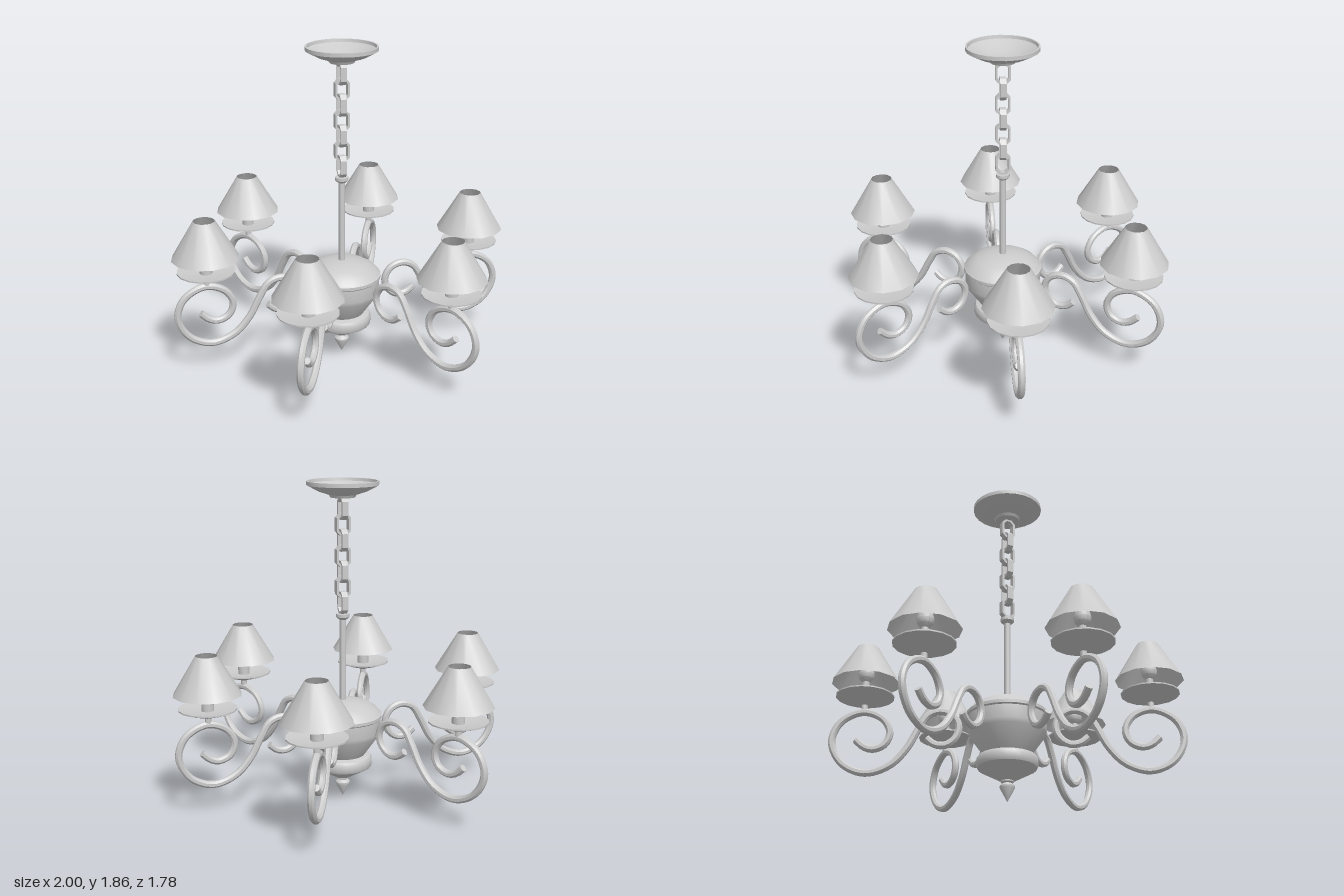
import * as THREE from 'three';
import { toCreasedNormals } from 'three/addons/utils/BufferGeometryUtils.js';

const solid = new THREE.MeshStandardMaterial({ color: 0xcccccc });
const shell = new THREE.MeshStandardMaterial({ color: 0xcccccc, side: THREE.DoubleSide });
const v2 = (p) => p.map(([x, y]) => new THREE.Vector2(x, y));

function part(name, geometry, material = solid) {
  const mesh = new THREE.Mesh(toCreasedNormals(geometry, 0.6), material);
  mesh.name = name;
  return mesh;
}

// Turned part from a [radius, height] profile, listed bottom to top
const turned = (name, profile, sides, material) =>
  part(name, new THREE.LatheGeometry(v2(profile), sides), material);

// Octagonal chain link cut from flat bar
function linkGeometry() {
  const octagon = (w, h, c) => v2([
    [w, h - c], [w - c, h], [c - w, h], [-w, h - c],
    [-w, c - h], [c - w, -h], [w - c, -h], [w, c - h]]);
  const shape = new THREE.Shape(octagon(0.042, 0.063, 0.024));
  shape.holes.push(new THREE.Path(octagon(0.03, 0.051, 0.019)));
  return new THREE.ExtrudeGeometry(shape, { depth: 0.036, bevelEnabled: false }).translate(0, 0, -0.018);
}

// Double-scrolled arm bar, running outward along +x
function armGeometry() {
  const path = new THREE.CatmullRomCurve3([
    [0.45, 0.37], [0.405, 0.335], [0.345, 0.33], [0.29, 0.37], [0.27, 0.44],
    [0.305, 0.505], [0.375, 0.53], [0.445, 0.505], [0.495, 0.43], [0.56, 0.31],
    [0.65, 0.215], [0.78, 0.172], [0.9, 0.215], [0.965, 0.3], [0.977, 0.38],
    [0.93, 0.475], [0.81, 0.53], [0.7, 0.49], [0.656, 0.41], [0.68, 0.34],
    [0.745, 0.31], [0.8, 0.325], [0.845, 0.365],
  ].map(([x, y]) => new THREE.Vector3(x, y, 0)));
  const section = [];
  for (let i = 0; i < 8; i++) {
    const a = (i + 0.5) * Math.PI / 4;
    section.push([0.021 * Math.cos(a), 0.021 * Math.sin(a)]);
  }
  return new THREE.ExtrudeGeometry(new THREE.Shape(v2(section)), { steps: 88, extrudePath: path, bevelEnabled: false });
}

// Drip dish, candle holder, bulb and shade
function createLight() {
  const light = new THREE.Group();
  light.name = 'light';
  light.add(
    turned('dripDish', [
      [0, 0.525], [0.018, 0.525], [0.018, 0.57], [0.045, 0.58], [0.11, 0.6],
      [0.166, 0.62], [0.166, 0.628], [0.1, 0.618], [0, 0.61]], 16, shell),
    turned('candleHolder', [
      [0, 0.61], [0.036, 0.61], [0.036, 0.685], [0.021, 0.685], [0.021, 0.715], [0, 0.715]], 12),
    turned('bulb', [
      [0, 0.71], [0.022, 0.712], [0.042, 0.735], [0.047, 0.76], [0.041, 0.79],
      [0.027, 0.825], [0.012, 0.85], [0, 0.858]], 12),
    turned('shade', [[0.195, 0.705], [0.062, 0.928]], 12, shell));
  return light;
}

export function createModel() {
  const model = new THREE.Group();
  model.name = 'chandelier';

  // Open ceiling dish
  model.add(turned('ceilingCanopy', [
    [0, 1.77], [0.07, 1.77], [0.078, 1.785], [0.14, 1.805], [0.205, 1.84], [0.205, 1.862],
    [0.195, 1.862], [0.192, 1.845], [0.135, 1.816], [0.08, 1.795], [0, 1.79]], 24, shell));

  // Chain, each link turned a quarter from the last
  const chain = new THREE.Group();
  chain.name = 'chain';
  const link = linkGeometry();
  for (let i = 0; i < 7; i++) {
    const mesh = part('chainLink', link);
    mesh.position.y = 1.708 - i * 0.0895;
    mesh.rotation.y = i % 2 ? 0 : Math.PI / 2;
    chain.add(mesh);
  }
  model.add(chain);

  // Hanging rod with its collar
  model.add(turned('rod', [
    [0, 0.55], [0.019, 0.55], [0.019, 1.072], [0.027, 1.076], [0.04, 1.088],
    [0.04, 1.106], [0, 1.106]], 12));

  // Urn body
  model.add(turned('body', [
    [0, 0.11], [0.04, 0.12], [0.165, 0.19], [0.172, 0.205], [0.172, 0.24], [0.163, 0.255],
    [0.13, 0.265], [0.215, 0.385], [0.222, 0.41], [0.222, 0.485], [0.23, 0.492],
    [0.23, 0.51], [0.218, 0.52], [0.2, 0.543], [0.15, 0.572], [0.08, 0.592], [0, 0.597]], 24));

  // Pointed finial
  model.add(turned('finial', [
    [0, 0], [0.043, 0.08], [0.043, 0.09], [0.025, 0.105], [0.036, 0.112],
    [0.036, 0.124], [0, 0.13]], 12));

  // Six arms, each carrying a light
  const arm = armGeometry();
  for (let i = 0; i < 6; i++) {
    const branch = new THREE.Group();
    branch.name = 'branch';
    const light = createLight();
    light.position.x = 0.805;
    branch.add(part('arm', arm), light);
    branch.rotation.y = i * Math.PI / 3;
    model.add(branch);
  }
  return model;
}
